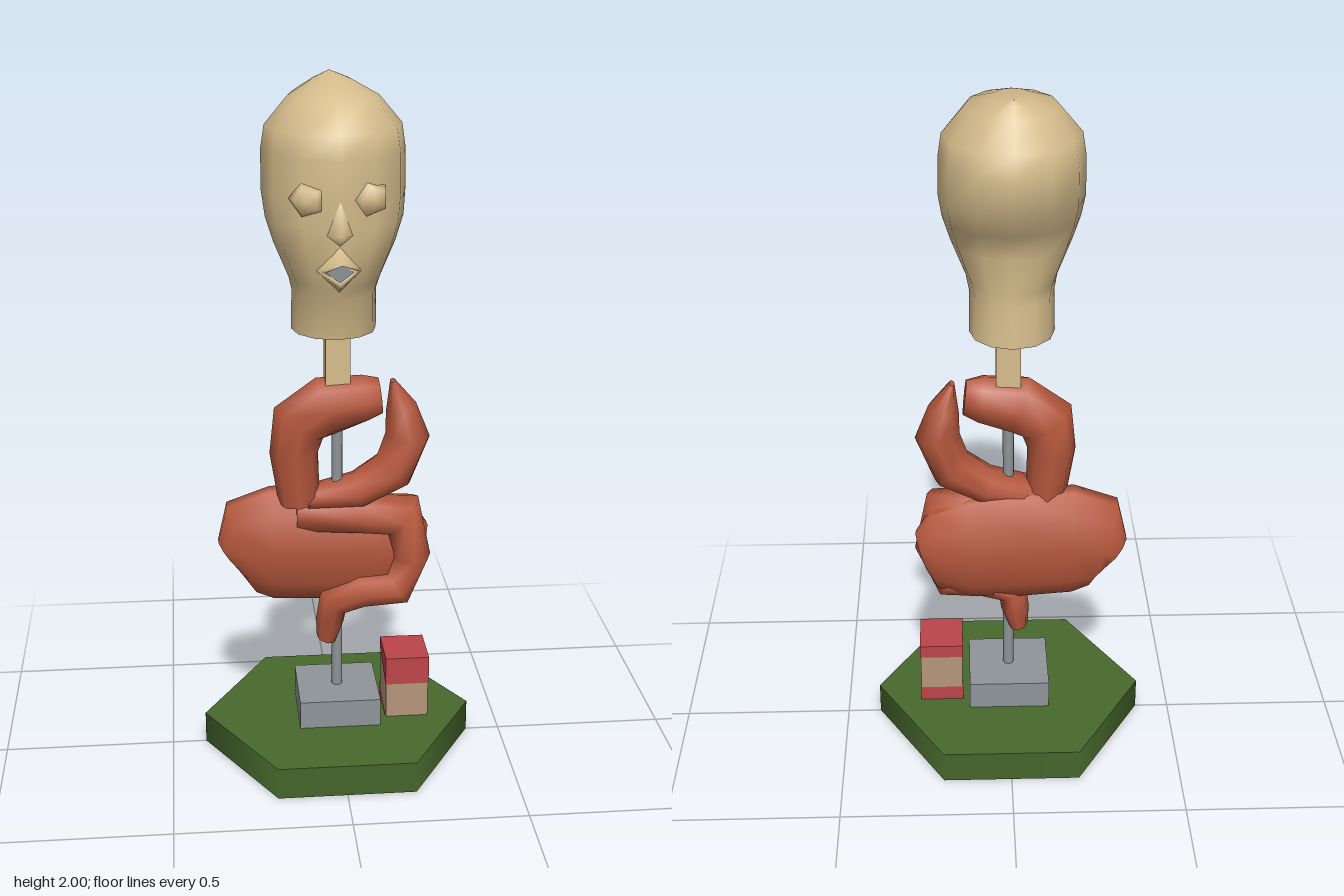
import * as THREE from 'three';

const mat = (name, color, side = THREE.FrontSide) => {
  const m = new THREE.MeshStandardMaterial({ color, side });
  m.name = name;
  return m;
};

// Skin joining equal rings of points, with sharp flat ends
function loft(rings) {
  const n = rings[0].length, pos = [], idx = [];
  const add = p => (pos.push(p.x, p.y, p.z), pos.length / 3 - 1);
  rings.forEach(r => r.forEach(add));
  for (let i = 0; i < rings.length - 1; i++) for (let j = 0; j < n; j++) {
    const k = (j + 1) % n, a = i * n + j, b = i * n + k;
    idx.push(a, b, b + n, a, b + n, a + n);
  }
  [[rings[0], false], [rings[rings.length - 1], true]].forEach(([ring, up]) => {
    const c = new THREE.Vector3();
    ring.forEach(p => c.addScaledVector(p, 1 / n));
    const ci = add(c), first = ci + 1;
    ring.forEach(add);
    for (let j = 0; j < n; j++) {
      const k = (j + 1) % n;
      idx.push(ci, first + (up ? j : k), first + (up ? k : j));
    }
  });
  return surface(pos, idx);
}

function surface(pos, idx) {
  const g = new THREE.BufferGeometry();
  g.setAttribute('position', new THREE.Float32BufferAttribute(pos, 3));
  g.setIndex(idx);
  g.computeVertexNormals();
  return g;
}

// Limb along an x-y path; each station is [x, y, z, halfWidth, halfDepth]
function limb(stations, sides = 8) {
  const last = stations.length - 1;
  return loft(stations.map(([x, y, z, w, d], i) => {
    const p = stations[Math.max(i - 1, 0)], q = stations[Math.min(i + 1, last)];
    const t = new THREE.Vector2(q[0] - p[0], q[1] - p[1]).normalize();
    return Array.from({ length: sides }, (_, j) => {
      const a = j / sides * Math.PI * 2, s = Math.sin(a) * w;
      return new THREE.Vector3(x + t.y * s, y - t.x * s, z + Math.cos(a) * d);
    });
  }));
}

export function createModel() {
  const root = new THREE.Group();
  const skin = mat('skin tan', 0xd6bd8c), coil = mat('coil red', 0xb5573c);
  const green = mat('base green', 0x47692d), grey = mat('metal grey', 0x8f9599);
  const red = mat('box red', 0xbc444a), tan = mat('box tan', 0xb5967a);
  const add = (name, geo, m, x = 0, y = 0, z = 0, parent = root) => {
    const mesh = new THREE.Mesh(geo, m);
    mesh.name = name;
    mesh.position.set(x, y, z);
    parent.add(mesh);
    return mesh;
  };

  // Stand
  add('base', new THREE.CylinderGeometry(0.4, 0.4, 0.095, 6).rotateY(Math.PI / 2), green, 0, 0.0475, 0);
  add('block', new THREE.BoxGeometry(0.24, 0.085, 0.24), grey, 0, 0.1375, 0);
  add('rod', new THREE.CylinderGeometry(0.016, 0.016, 1.0, 8), grey, 0, 0.66, 0);
  add('neckPost', new THREE.BoxGeometry(0.07, 0.2, 0.07), skin, 0, 1.22, 0);

  // Striped box: red bands [top edge left, right, bottom edge left, right] on each side
  const box = new THREE.Group();
  box.name = 'stripedBox';
  box.position.set(0.205, 0.095, 0);
  root.add(box);
  add('boxBody', new THREE.BoxGeometry(0.126, 0.191, 0.146), tan, 0, 0.0965, 0, box);
  add('boxTop', new THREE.BoxGeometry(0.13, 0.004, 0.15), red, 0, 0.193, 0, box);
  [[0.11, 0.11, 0, 0], [0.11, 0.16, 0, 0.045], [0.155, 0.155, 0.045, 0.045], [0.16, 0.11, 0.045, 0]].forEach(([tl, tr, bl, br], i) => {
    const h = i % 2 ? 0.075 : 0.065, out = i % 2 ? 0.065 : 0.075;
    const band = (name, pts) => {
      const g = new THREE.ShapeGeometry(new THREE.Shape(pts.map(p => new THREE.Vector2(...p))));
      g.translate(0, 0, out).rotateY(i * Math.PI / 2);
      add(name, g, red, 0, 0, 0, box);
    };
    band('upperBand', [[-h, tl], [h, tr], [h, 0.195], [-h, 0.195]]);
    if (bl + br > 0) band('lowerBand', [[-h, 0], [h, 0], [h, br + 0.0001], [-h, bl + 0.0001]]);
  });

  // Coiled body
  add('upperCoil', limb([
    [0.125, 1.095, 0, 0.055, 0.05], [0.08, 1.09, 0, 0.07, 0.075], [-0.03, 1.07, 0, 0.09, 0.08],
    [-0.11, 1.02, 0, 0.085, 0.08], [-0.125, 0.93, 0, 0.07, 0.08], [-0.11, 0.78, 0, 0.06, 0.07]]), coil);
  add('crossingCoil', limb([
    [0.16, 1.14, 0, 0.008, 0.02], [0.185, 1.06, 0, 0.045, 0.06], [0.205, 0.975, 0, 0.065, 0.08],
    [0.165, 0.87, 0, 0.065, 0.08], [0.06, 0.81, 0, 0.052, 0.075], [-0.09, 0.79, 0, 0.03, 0.06]]), coil);
  add('lowerCoil', limb([
    [-0.314, 0.6, -0.035, 0.06, 0.05], [-0.28, 0.625, -0.03, 0.15, 0.075], [-0.19, 0.637, -0.03, 0.178, 0.085],
    [-0.02, 0.63, -0.035, 0.18, 0.085], [0.12, 0.62, -0.04, 0.165, 0.08], [0.22, 0.62, -0.045, 0.13, 0.07],
    [0.255, 0.61, -0.045, 0.07, 0.045]], 10), coil);
  add('lowerLoop', limb([
    [-0.12, 0.74, 0.0, 0.06, 0.05], [0.06, 0.735, 0.0, 0.06, 0.075], [0.19, 0.725, 0, 0.075, 0.08],
    [0.218, 0.6, 0, 0.06, 0.08], [0.18, 0.5, 0, 0.06, 0.08], [0.07, 0.495, 0, 0.055, 0.08],
    [-0.01, 0.46, 0, 0.05, 0.075], [-0.02, 0.39, -0.01, 0.042, 0.06], [-0.03, 0.33, -0.01, 0.03, 0.045]]), coil);

  // Head; each row is y, half width, back z, front z
  const head = new THREE.Group();
  head.name = 'head';
  head.position.x = -0.01;
  root.add(head);
  const rows = [[1.303, 0.12, -0.13, 0.13], [1.42, 0.118, -0.12, 0.15], [1.46, 0.127, -0.12, 0.185],
    [1.56, 0.168, -0.125, 0.205], [1.63, 0.19, -0.14, 0.208], [1.70, 0.199, -0.21, 0.212],
    [1.81, 0.198, -0.225, 0.217], [1.875, 0.188, -0.2, 0.2], [1.95, 0.125, -0.155, 0.15],
    [1.985, 0.055, -0.138, 0.03], [2.0, 0.003, -0.13, -0.11]];
  add('skull', loft(rows.map(([y, w, b, f]) => Array.from({ length: 12 }, (_, j) => {
    const a = j / 12 * Math.PI * 2;
    return new THREE.Vector3(Math.sin(a) * w, y, (f + b) / 2 + Math.cos(a) * (f - b) / 2);
  }))), skin, 0, 0, 0, head);

  // Eyes
  for (const s of [-1, 1]) {
    const eye = new THREE.SphereGeometry(0.054, 5, 4).rotateX(Math.PI / 2);
    eye.scale(1, 1, 0.85).rotateY(s * 0.3);
    add('eye', eye, skin, s * 0.082, 1.705, 0.175, head);
  }

  // Nose: bridge, tip, two nostrils and base
  add('nose', surface(
    [0, 1.72, 0.2, 0, 1.62, 0.27, -0.036, 1.61, 0.195, 0.036, 1.61, 0.195, 0, 1.58, 0.2],
    [0, 2, 1, 0, 1, 3, 1, 2, 4, 1, 4, 3]), skin, 0, 0, 0, head);

  // Lips: rows of top, left, bottom, right points, folding into the mouth
  const lips = [
    0, 1.585, 0.2, -0.072, 1.51, 0.15, 0, 1.445, 0.165, 0.072, 1.51, 0.15,
    0, 1.545, 0.265, -0.055, 1.512, 0.195, 0, 1.472, 0.225, 0.055, 1.512, 0.195,
    0, 1.537, 0.208, -0.038, 1.51, 0.195, 0, 1.484, 0.205, 0.038, 1.51, 0.195];
  const faces = [];
  for (let r = 0; r < 2; r++) for (let j = 0; j < 4; j++) {
    const a = r * 4 + j, b = r * 4 + (j + 1) % 4;
    faces.push(a, b, b + 4, a, b + 4, a + 4);
  }
  add('lips', surface(lips, faces), skin, 0, 0, 0, head);
  add('mouth', surface(lips.slice(24), [0, 1, 2, 0, 2, 3]), grey, 0, 0, 0, head);

  return root;
}
